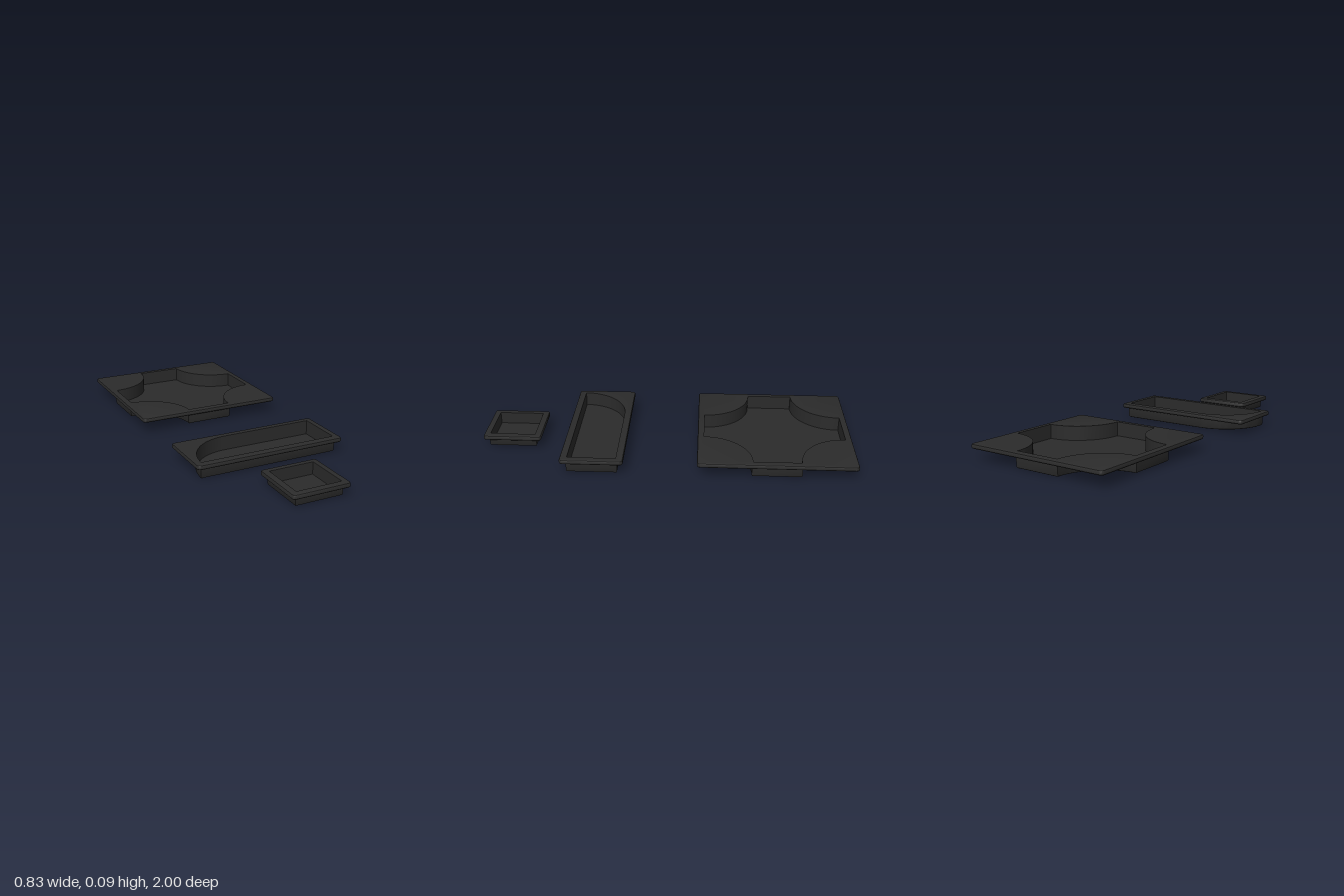
import * as THREE from 'three';
import { mergeGeometries, toCreasedNormals } from 'three/addons/utils/BufferGeometryUtils.js';

const V = (x, y) => new THREE.Vector2(x, y);

// Points along an arc, both ends included
function arc(cx, cy, r, a0, a1, n) {
  return Array.from({ length: n + 1 }, (_, i) => {
    const a = a0 + ((a1 - a0) * i) / n;
    return V(cx + r * Math.cos(a), cy + r * Math.sin(a));
  });
}

// Outlines run counter-clockwise; d grows the outline outward
const roundedRect = (hx, hy, r) => (d) => {
  const pts = [];
  [[1, 1], [-1, 1], [-1, -1], [1, -1]].forEach(([sx, sy], i) => {
    pts.push(...arc(sx * (hx - r), sy * (hy - r), r + d, (i * Math.PI) / 2, ((i + 1) * Math.PI) / 2, 5));
  });
  return pts;
};

const square = (h) => (d) => [V(h + d, h + d), V(-h - d, h + d), V(-h - d, -h - d), V(h + d, -h - d)];

// Square with a quarter circle scooped out of every corner
const scooped = (h, r) => (d) => {
  const quarter = [V(h + d, h - r + d), ...arc(h, h, r - d, -Math.PI / 2, -Math.PI, 20), V(h - r + d, h + d)];
  const pts = [];
  for (let i = 0; i < 4; i++) {
    quarter.forEach((p) => pts.push(p.clone().rotateAround(V(0, 0), (i * Math.PI) / 2)));
  }
  return pts;
};

// Rectangle with one corner swept into a large quarter circle
const swept = (hx, hy) => (d) => [
  V(hx + d, hy + d),
  ...arc(-hx + 2 * hy, -hy, 2 * hy + d, Math.PI / 2, Math.PI, 24),
  V(-hx - d, -hy - d),
  V(hx + d, -hy - d),
];

function fromPositions(pos) {
  const g = new THREE.BufferGeometry();
  g.setAttribute('position', new THREE.Float32BufferAttribute(pos, 3));
  return g;
}

// Wall through [offset, height] sections of one outline
function wall(outline, sections) {
  const rings = sections.map(([d, h]) => outline(d).map((p) => [p.x, p.y, h]));
  const pos = [];
  for (let k = 0; k + 1 < rings.length; k++) {
    const a = rings[k], b = rings[k + 1], n = a.length;
    for (let i = 0; i < n; i++) {
      const j = (i + 1) % n;
      pos.push(...a[i], ...a[j], ...b[j], ...a[i], ...b[j], ...b[i]);
    }
  }
  return fromPositions(pos);
}

// Flat face, optionally with a hole, facing up or down
function plate(points, hole, h, up) {
  const shape = new THREE.Shape(points);
  if (hole) shape.holes.push(new THREE.Path(hole));
  const src = new THREE.ShapeGeometry(shape).toNonIndexed().attributes.position;
  const pos = [];
  for (let i = 0; i < src.count; i += 3) {
    for (const k of up ? [0, 1, 2] : [0, 2, 1]) pos.push(src.getX(i + k), src.getY(i + k), h);
  }
  return fromPositions(pos);
}

function part(name, pieces, material) {
  const g = toCreasedNormals(mergeGeometries(pieces), 0.7);
  g.rotateX(-Math.PI / 2);
  const mesh = new THREE.Mesh(g, material);
  mesh.name = name;
  return mesh;
}

function tray(name, rim, well, under, top, z, material) {
  const t = 0.006, floor = 0.008;
  const group = new THREE.Group();
  group.name = name;
  group.position.z = z;
  // Flange around the opening
  group.add(part('rim', [
    wall(rim, [[-0.004, under], [0, under + 0.004], [0, top - 0.008], [-0.0025, top - 0.0025], [-0.008, top]]),
    plate(rim(-0.008), well(0), top, true),
    plate(rim(-0.004), well(t), under, false),
  ], material));
  // Outside of the bowl, rounded at the base
  group.add(part('bowl', [
    wall(well, [[t - 0.01, 0], [t - 0.003, 0.003], [t, 0.01], [t, under]]),
    plate(well(t - 0.01), null, 0, false),
  ], material));
  // Inside of the bowl
  group.add(part('well', [
    wall(well, [[0, top], [0, floor]]),
    plate(well(0), null, floor, true),
  ], material));
  return group;
}

export function createModel() {
  const black = new THREE.MeshStandardMaterial({ color: 0x2b2b2b });
  black.name = 'matte black';
  const model = new THREE.Group();
  model.name = 'traySet';
  model.add(
    tray('largeTray', roundedRect(0.415, 0.415, 0.018), scooped(0.38, 0.255), 0.062, 0.086, -0.585, black),
    tray('longTray', roundedRect(0.415, 0.1655, 0.018), swept(0.38, 0.1275), 0.062, 0.086, 0.378, black),
    tray('smallTray', roundedRect(0.157, 0.157, 0.016), square(0.123), 0.049, 0.074, 0.843, black),
  );
  return model;
}
